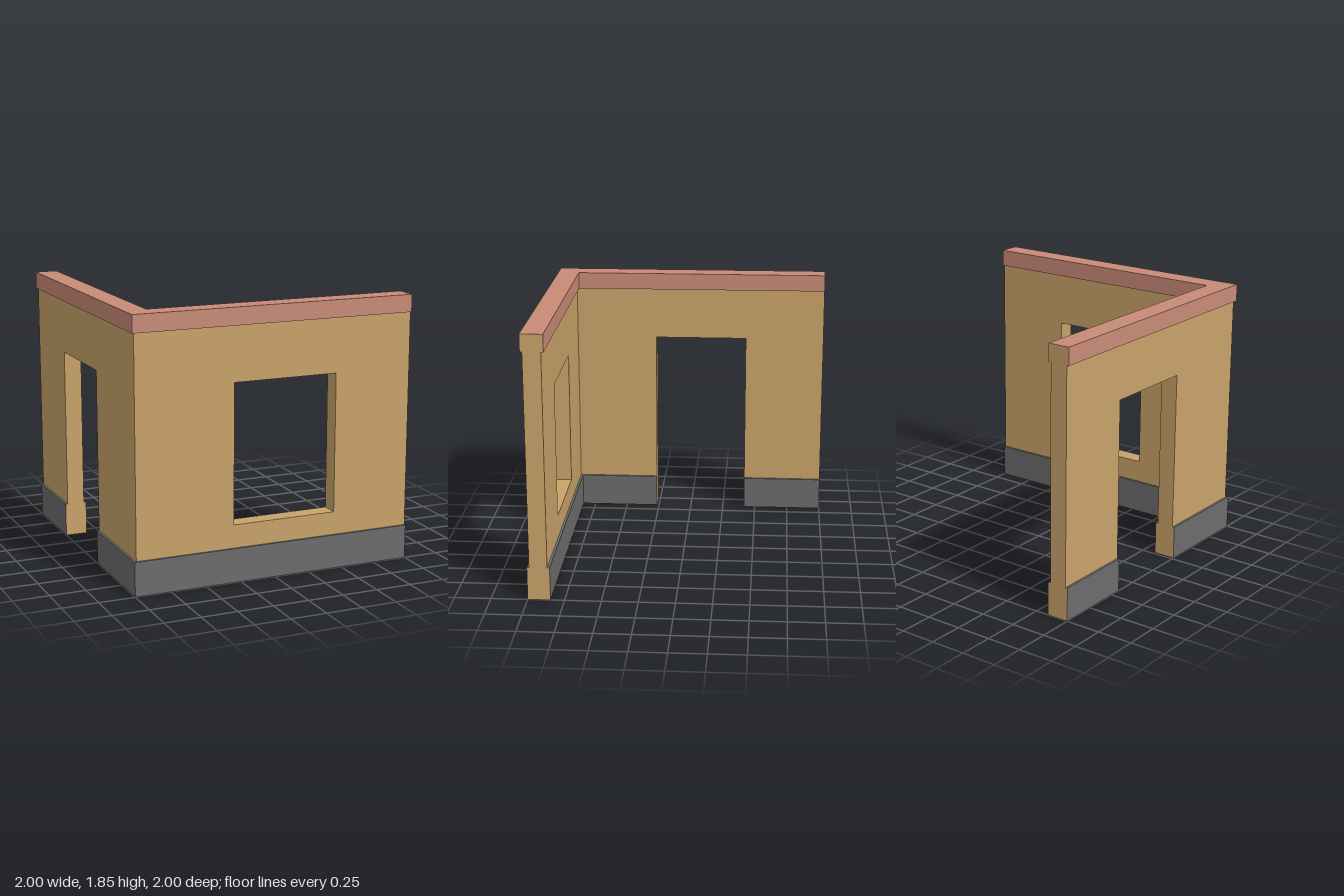
import * as THREE from 'three';

export function createModel() {
  const model = new THREE.Group();
  const material = (name, color) => {
    const m = new THREE.MeshStandardMaterial({ color });
    m.name = name;
    return m;
  };
  const plaster = material('ochre plaster', 0xc9a36a);
  const stone = material('grey stone', 0x6c6c6c);
  const clay = material('red clay', 0xc98b78);

  // Heights and the two plan thicknesses
  const baseTop = 0.235, trimBottom = 1.73, top = 1.85;
  const outer = 1, inner = 0.845;          // base and coping
  const wallOuter = 0.985, wallInner = 0.862; // wall body
  const thickness = wallOuter - wallInner;
  const door = { back: -0.415, front: 0.265, top: 1.355 };
  const win = { left: -0.295, right: 0.445, bottom: 0.395, top: 1.355 };

  const add = (name, geometry, mat) => {
    const mesh = new THREE.Mesh(geometry, mat);
    mesh.name = name;
    model.add(mesh);
    return mesh;
  };

  // Box between two corners; the listed faces (+x -x +y -y +z -z) are plaster cut ends
  const block = (name, a, b, mat, cutFaces) => {
    const size = a.map((v, i) => b[i] - v);
    const mats = [0, 1, 2, 3, 4, 5].map(i => (cutFaces.includes(i) ? plaster : mat));
    const mesh = add(name, new THREE.BoxGeometry(...size), mats);
    mesh.position.set(...a.map((v, i) => (v + b[i]) / 2));
  };

  const outline = points => points.map(([x, y]) => new THREE.Vector2(x, y));
  const extrude = shape =>
    new THREE.ExtrudeGeometry(shape, { depth: thickness, bevelEnabled: false });

  // Front wall with its window opening
  const front = new THREE.Shape(outline([
    [-wallOuter, baseTop], [1, baseTop], [1, trimBottom], [-wallOuter, trimBottom],
  ]));
  front.holes.push(new THREE.Path(outline([
    [win.left, win.bottom], [win.left, win.top], [win.right, win.top], [win.right, win.bottom],
  ])));
  add('frontWall', extrude(front), plaster).position.z = wallInner;

  // Side wall with its doorway, drawn with -z along the shape's x
  const side = new THREE.Shape(outline([
    [-wallInner, baseTop], [-door.front, baseTop], [-door.front, door.top],
    [-door.back, door.top], [-door.back, baseTop], [1, baseTop],
    [1, trimBottom], [-wallInner, trimBottom],
  ]));
  add('sideWall', extrude(side).rotateY(Math.PI / 2), plaster).position.x = -wallOuter;

  // Stone base, interrupted by the doorway
  block('frontBase', [-outer, 0, inner], [1, baseTop, outer], stone, [0]);
  block('sideBaseFront', [-outer, 0, door.front], [-inner, baseTop, inner], stone, [5]);
  block('sideBaseBack', [-outer, 0, -1], [-inner, baseTop, door.back], stone, [4, 5]);

  // Coping along the top of both walls
  block('frontCoping', [-outer, trimBottom, inner], [1, top, outer], clay, [0]);
  block('sideCoping', [-outer, trimBottom, -1], [-inner, top, inner], clay, [5]);

  return model;
}
